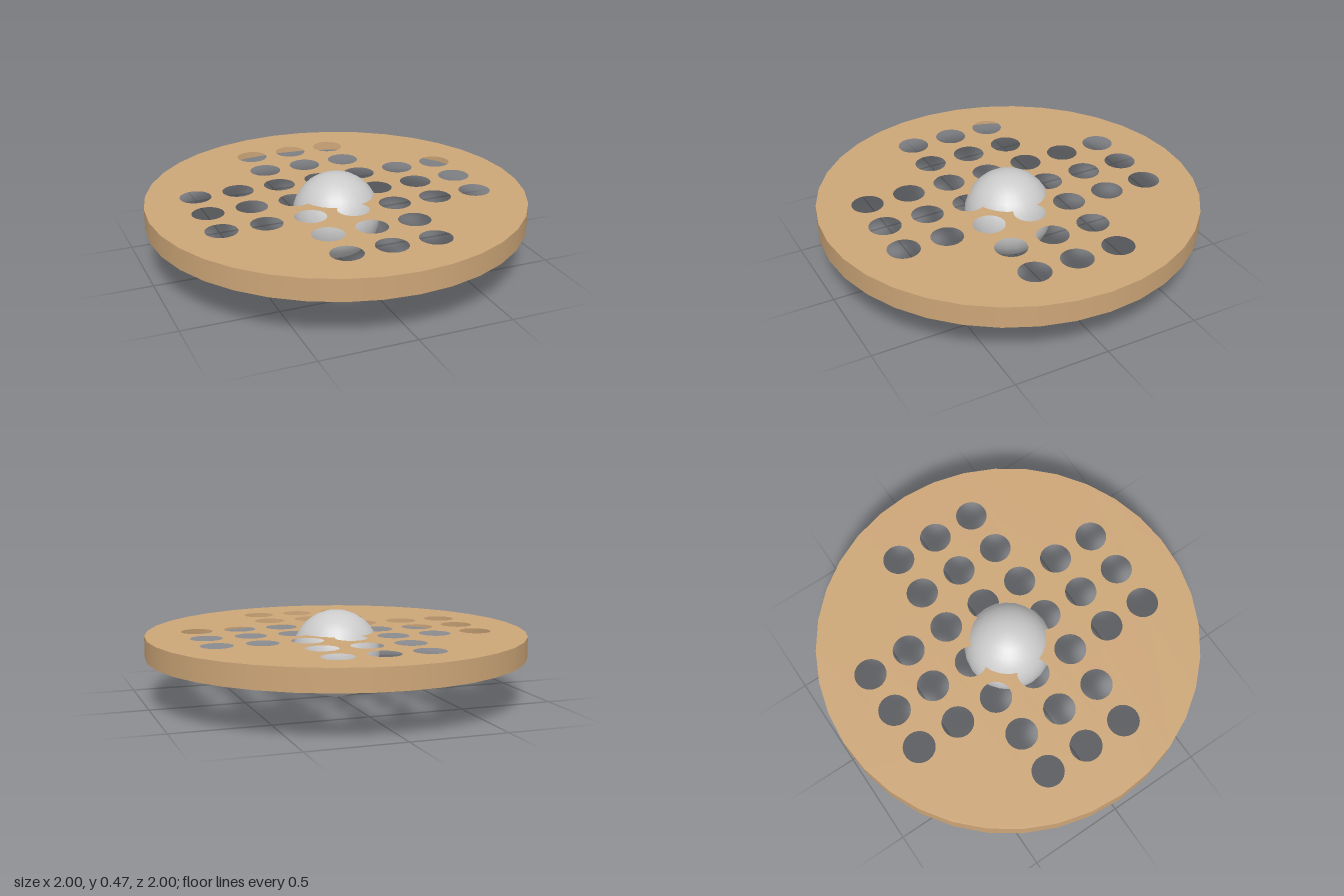
import * as THREE from 'three';

const TOP = 0.35, BOTTOM = 0.235, PITCH = 0.2325, HOLE = 0.083, SIDES = 36;

export function createModel() {
  const model = new THREE.Group();
  const wood = new THREE.MeshStandardMaterial({ color: 0xcda678, side: THREE.DoubleSide });
  const glass = new THREE.MeshStandardMaterial({ color: 0xcccccc });

  const add = (name, geometry, material, y) => {
    const mesh = new THREE.Mesh(geometry, material);
    mesh.name = name;
    mesh.position.y = y;
    model.add(mesh);
  };

  // Thin round board top, pierced by a cross-shaped grid of holes
  const disc = new THREE.Shape();
  for (let i = 0; i < SIDES; i++) {
    const a = (i / SIDES) * Math.PI * 2;
    if (i === 0) disc.moveTo(1, 0);
    else disc.lineTo(Math.cos(a), Math.sin(a));
  }
  for (let i = -3; i <= 3; i++) {
    for (let j = -3; j <= 3; j++) {
      if (Math.abs(i) > 1 && Math.abs(j) > 1) continue;
      const hole = new THREE.Path();
      hole.absarc(i * PITCH, j * PITCH, HOLE, 0, Math.PI * 2, true);
      disc.holes.push(hole);
    }
  }
  const boardTop = new THREE.ShapeGeometry(disc, 16).rotateX(-Math.PI / 2);
  add('boardTop', boardTop, wood, TOP);

  // Skirt around the board, open underneath
  const skirt = new THREE.CylinderGeometry(1, 1, TOP - BOTTOM, SIDES, 1, true);
  add('boardRim', skirt, wood, (TOP + BOTTOM) / 2);

  // Marble set through the middle of the board
  add('marble', new THREE.SphereGeometry(0.2325, 24, 14), glass, 0.2325);

  return model;
}
